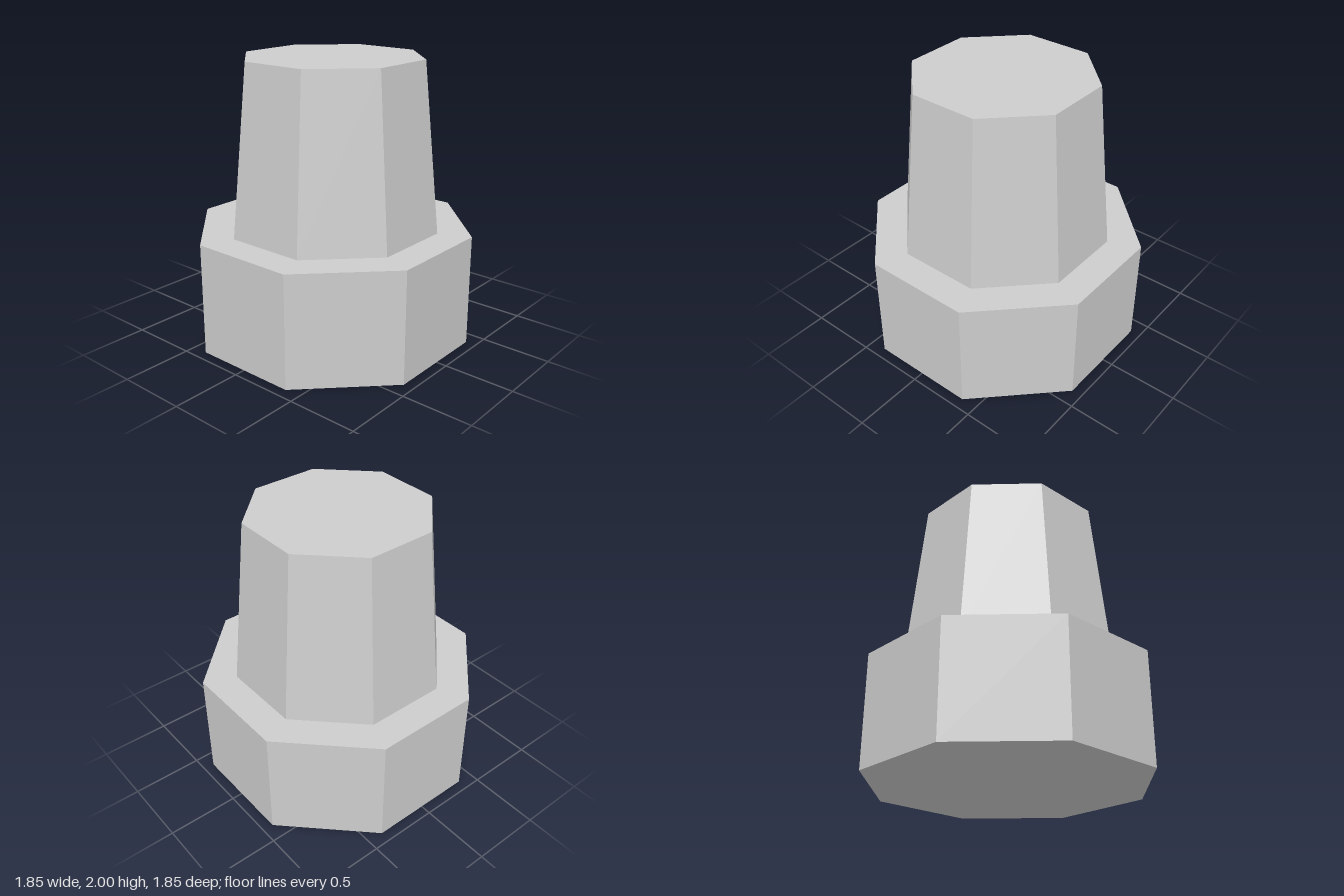
import * as THREE from 'three';

const SIDES = 8;

export function createModel() {
  const group = new THREE.Group();
  const grey = new THREE.MeshStandardMaterial({ color: 0xcccccc, flatShading: true });
  grey.name = 'light grey';

  // Octagonal prism with a flat side facing the front
  function addOctagon(name, topRadius, bottomRadius, y0, y1) {
    const geometry = new THREE.CylinderGeometry(topRadius, bottomRadius, y1 - y0, SIDES);
    geometry.rotateY(Math.PI / SIDES);
    geometry.translate(0, (y0 + y1) / 2, 0);
    const mesh = new THREE.Mesh(geometry, grey);
    mesh.name = name;
    group.add(mesh);
  }

  // Wide straight base
  addOctagon('base', 1, 1, 0, 0.8);
  // Narrower column, tapering upward
  addOctagon('taperedColumn', 0.64, 0.76, 0.8, 2);

  return group;
}
